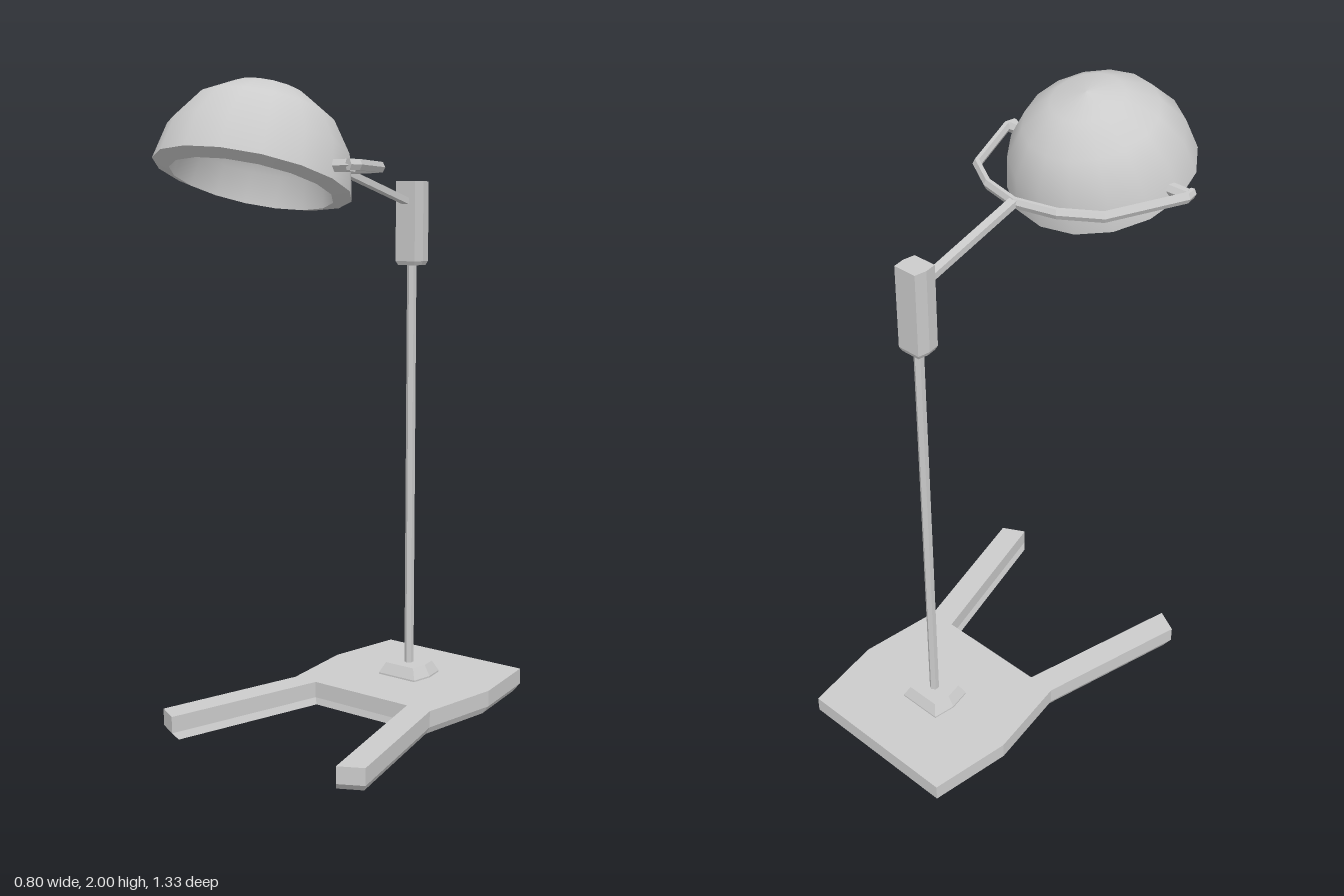
import * as THREE from 'three';

const V2 = (x, y) => new THREE.Vector2(x, y);
const material = new THREE.MeshStandardMaterial({ color: 0xcccccc });
const flat = new THREE.MeshStandardMaterial({ color: 0xcccccc, flatShading: true });

function part(name, geometry, mat = flat) {
  const mesh = new THREE.Mesh(geometry, mat);
  mesh.name = name;
  return mesh;
}

// Skin a stack of equal rings; contour is the counter-clockwise 2D section used for the end caps
function skin(rings, contour) {
  const pos = [];
  const tri = (...corners) => corners.forEach(c => pos.push(...c));
  const n = contour.length, last = rings[rings.length - 1];
  for (let r = 0; r < rings.length - 1; r++) {
    for (let i = 0; i < n; i++) {
      const j = (i + 1) % n, a = rings[r], b = rings[r + 1];
      tri(a[i], b[i], b[j]);
      tri(a[i], b[j], a[j]);
    }
  }
  for (const [a, b, c] of THREE.ShapeUtils.triangulateShape(contour, [])) {
    tri(rings[0][a], rings[0][b], rings[0][c]);
    tri(last[c], last[b], last[a]);
  }
  const g = new THREE.BufferGeometry();
  g.setAttribute('position', new THREE.Float32BufferAttribute(pos, 3));
  g.computeVertexNormals();
  return g;
}

// Upright solid from one half (+x) of a mirrored plan, as [x, z], with [height, scale] levels
function plate(half, levels) {
  const contour = [
    ...half.map(([x, z]) => V2(x, z)),
    ...half.slice().reverse().map(([x, z]) => V2(-x, z)),
  ];
  if (THREE.ShapeUtils.isClockWise(contour)) contour.reverse();
  return skin(levels.map(([y, s]) => contour.map(p => [p.x * s, y, p.y * s])), contour);
}

// Sweep a section along a level path with mitred corners
function levelSweep(path, y, section) {
  const rings = path.map((p, i) => {
    const into = p.clone().sub(path[i - 1] ?? p).normalize();
    const out = (path[i + 1] ?? p).clone().sub(p).normalize();
    const t = into.clone().add(out).normalize();
    const k = 1 / Math.max(t.dot(out), t.dot(into));
    return section.map(s => [p.x - t.y * s.x * k, y + s.y, p.y + t.x * s.x * k]);
  });
  return skin(rings, section);
}

export function createModel() {
  const group = new THREE.Group();
  group.name = 'lamp';

  // Forked base with a chamfered underside
  group.add(part('base', plate(
    [[0.275, -0.665], [0.315, -0.4], [0.275, -0.12], [0.4, 0.38], [0.325, 0.42], [0.187, -0.12]],
    [[0, 0.96], [0.022, 1], [0.075, 1]])));

  // Collar, pole and head block on one axis
  const stand = new THREE.Group();
  stand.name = 'stand';
  stand.position.z = -0.393;
  const collar = part('collar', plate([[0.073, -0.072], [0.085, 0], [0.073, 0.072]],
    [[0.07, 1], [0.08, 1], [0.115, 0.77]]));
  const pole = part('pole', new THREE.CylinderGeometry(0.0155, 0.0155, 1.38, 6));
  pole.position.y = 0.78;
  const block = part('headBlock', plate([[0.038, -0.038], [0.044, 0], [0.038, 0.038]],
    [[1.457, 0.85], [1.47, 1], [1.727, 1]]));
  stand.add(collar, pole, block);
  group.add(stand);

  // Sloping arm from the block to the yoke
  const from = new THREE.Vector3(0, 1.66, -0.37), to = new THREE.Vector3(0, 1.76, 0);
  const arm = part('arm', new THREE.BoxGeometry(0.027, 0.02, from.distanceTo(to)));
  arm.position.copy(from).add(to).multiplyScalar(0.5);
  arm.lookAt(to);
  group.add(arm);

  // Yoke reaching round both sides of the shade
  const side = [[0.13, 0.032], [0.24, 0.104], [0.342, 0.345], [0.336, 0.38]];
  const path = [
    ...side.slice().reverse().map(([x, z]) => V2(-x, z)),
    V2(0, 0),
    ...side.map(([x, z]) => V2(x, z)),
  ];
  const section = [V2(0.013, 0), V2(0.006, 0.015), V2(-0.006, 0.015),
    V2(-0.013, 0), V2(-0.006, -0.015), V2(0.006, -0.015)];
  group.add(part('yoke', levelSweep(path, 1.757, section)));

  // Pivot pins
  for (const s of [1, -1]) {
    const pin = part(s > 0 ? 'leftPivot' : 'rightPivot',
      new THREE.CylinderGeometry(0.02, 0.02, 0.07, 6));
    pin.rotation.z = Math.PI / 2;
    pin.position.set(s * 0.302, 1.755, 0.361);
    group.add(pin);
  }

  // Tilted shade: outer dome, bevelled lip and inner bowl
  const shade = new THREE.Group();
  shade.name = 'shade';
  shade.position.set(0, 1.72, 0.388);
  shade.rotation.x = -THREE.MathUtils.degToRad(17.5);
  const arc = (radius, height, y) => [0, 1, 2, 3, 4].map(i => {
    const a = i * Math.PI / 8;
    return V2(i === 4 ? 0 : radius * Math.cos(a), y + height * Math.sin(a));
  });
  const lathe = points => new THREE.LatheGeometry(points, 16);
  shade.add(
    part('dome', lathe(arc(0.288, 0.281, 0)), material),
    part('lip', lathe([V2(0.237, -0.015), V2(0.288, 0)]), material),
    part('innerBowl', lathe(arc(0.237, 0.24, -0.015).reverse()), material));
  group.add(shade);

  return group;
}
